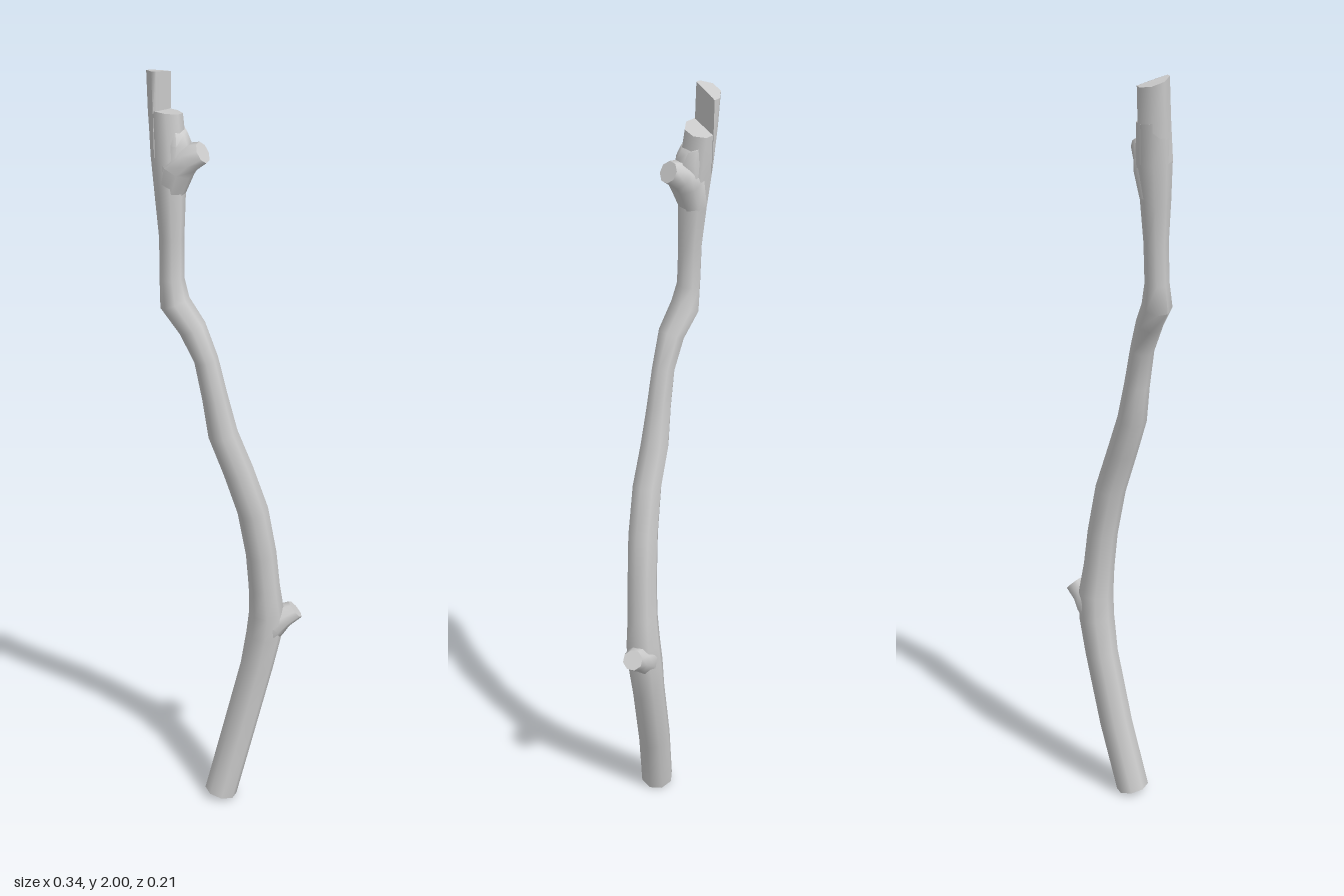
import * as THREE from 'three';
import { toCreasedNormals } from 'three/addons/utils/BufferGeometryUtils.js';

const SIDES = 8;
const V = (x, y, z) => new THREE.Vector3(x, y, z);

// Closed tube through rows of [x, y, z, radius], with flat end caps.
// endNormal tilts the last cap; shape may move each vertex.
function loft(rows, ref, { endNormal, shape } = {}) {
  const pts = rows.map(r => V(r[0], r[1], r[2]));
  const last = rows.length - 1;
  const pos = [], index = [];
  const push = p => { if (shape) shape(p); pos.push(p.x, p.y, p.z); };
  pts.forEach((c, i) => {
    let t = pts[Math.min(i + 1, last)].clone().sub(pts[Math.max(i - 1, 0)]);
    if (i === last && endNormal) t = endNormal.clone();
    t.normalize();
    const u = ref.clone().addScaledVector(t, -ref.dot(t)).normalize();
    const v = t.clone().cross(u);
    for (let k = 0; k < SIDES; k++) {
      const a = (k + 0.5) / SIDES * Math.PI * 2, r = rows[i][3] * 1.04;
      push(c.clone().addScaledVector(u, r * Math.cos(a)).addScaledVector(v, r * Math.sin(a)));
    }
  });
  for (let i = 0; i < last; i++) {
    for (let k = 0; k < SIDES; k++) {
      const a = i * SIDES + k, b = i * SIDES + (k + 1) % SIDES;
      index.push(a, b, b + SIDES, a, b + SIDES, a + SIDES);
    }
  }
  const top = last * SIDES;
  for (let k = 1; k < SIDES - 1; k++) {
    index.push(0, k + 1, k, top, top + k, top + k + 1);
  }
  const geo = new THREE.BufferGeometry();
  geo.setAttribute('position', new THREE.Float32BufferAttribute(pos, 3));
  geo.setIndex(index);
  return toCreasedNormals(geo, 0.95);
}

export function createModel() {
  const group = new THREE.Group();
  const material = new THREE.MeshStandardMaterial({ color: 0xcccccc });
  const add = (name, geo) => {
    const mesh = new THREE.Mesh(geo, material);
    mesh.name = name;
    group.add(mesh);
  };
  const X = V(1, 0, 0), Y = V(0, 1, 0);

  // Crooked main stem, ending in a shelf where the wood snapped
  add('stem', loft([
    [-0.04, 0.01, 0.035, 0.041],
    [0.01, 0.2, 0.037, 0.041],
    [0.057, 0.4, 0.047, 0.041],
    [0.074, 0.5, 0.053, 0.044],
    [0.078, 0.57, 0.058, 0.043],
    [0.07, 0.65, 0.06, 0.038],
    [0.06, 0.75, 0.061, 0.037],
    [0.037, 0.88, 0.06, 0.037],
    [0, 1.0, 0.053, 0.036],
    [-0.033, 1.1, 0.037, 0.035],
    [-0.05, 1.2, 0.028, 0.03],
    [-0.068, 1.3, 0.018, 0.028],
    [-0.095, 1.38, 0.001, 0.032],
    [-0.127, 1.44, -0.029, 0.035],
    [-0.13, 1.5, -0.037, 0.028],
    [-0.128, 1.6, -0.04, 0.028],
    [-0.128, 1.7, -0.045, 0.034],
    [-0.127, 1.8, -0.052, 0.04],
    [-0.129, 1.9, -0.064, 0.038],
  ], X, { endNormal: V(0.2, 1, -0.1) }));

  // Splinter: the half of the stem that stands above the shelf
  const cutNormal = V(0.64, 0, 0.77), cutPoint = V(-0.13, 0, -0.072);
  add('splinter', loft([
    [-0.127, 1.8, -0.052, 0.039],
    [-0.129, 1.9, -0.064, 0.038],
    [-0.129, 1.989, -0.07, 0.038],
  ], X, {
    endNormal: V(0.2, 1, -0.2),
    shape: p => {
      const d = p.clone().sub(cutPoint).dot(cutNormal);
      if (d > 0) p.addScaledVector(cutNormal, -d);
    },
  }));

  // Cut-off side twigs, flared where they join the stem
  add('lowerTwigStub', loft([
    [0.07, 0.5, 0.053, 0.036],
    [0.092, 0.535, 0.06, 0.042],
    [0.12, 0.552, 0.069, 0.031],
    [0.15, 0.568, 0.078, 0.025],
  ], Y, { endNormal: V(0.76, 0.65, 0.2) }));
  add('upperTwigStub', loft([
    [-0.127, 1.71, -0.048, 0.033],
    [-0.115, 1.775, -0.035, 0.042],
    [-0.094, 1.8, -0.016, 0.034],
    [-0.068, 1.816, 0.006, 0.025],
  ], V(1, 0, -1), { endNormal: V(0.6, 0.5, 0.6) }));

  // Small broken shoulder between the upper twig and the shelf
  add('brokenShoulder', loft([
    [-0.118, 1.79, -0.042, 0.036],
    [-0.113, 1.83, -0.04, 0.034],
    [-0.113, 1.865, -0.045, 0.027],
  ], X, { endNormal: V(0.3, 1, 0.3) }));

  return group;
}
